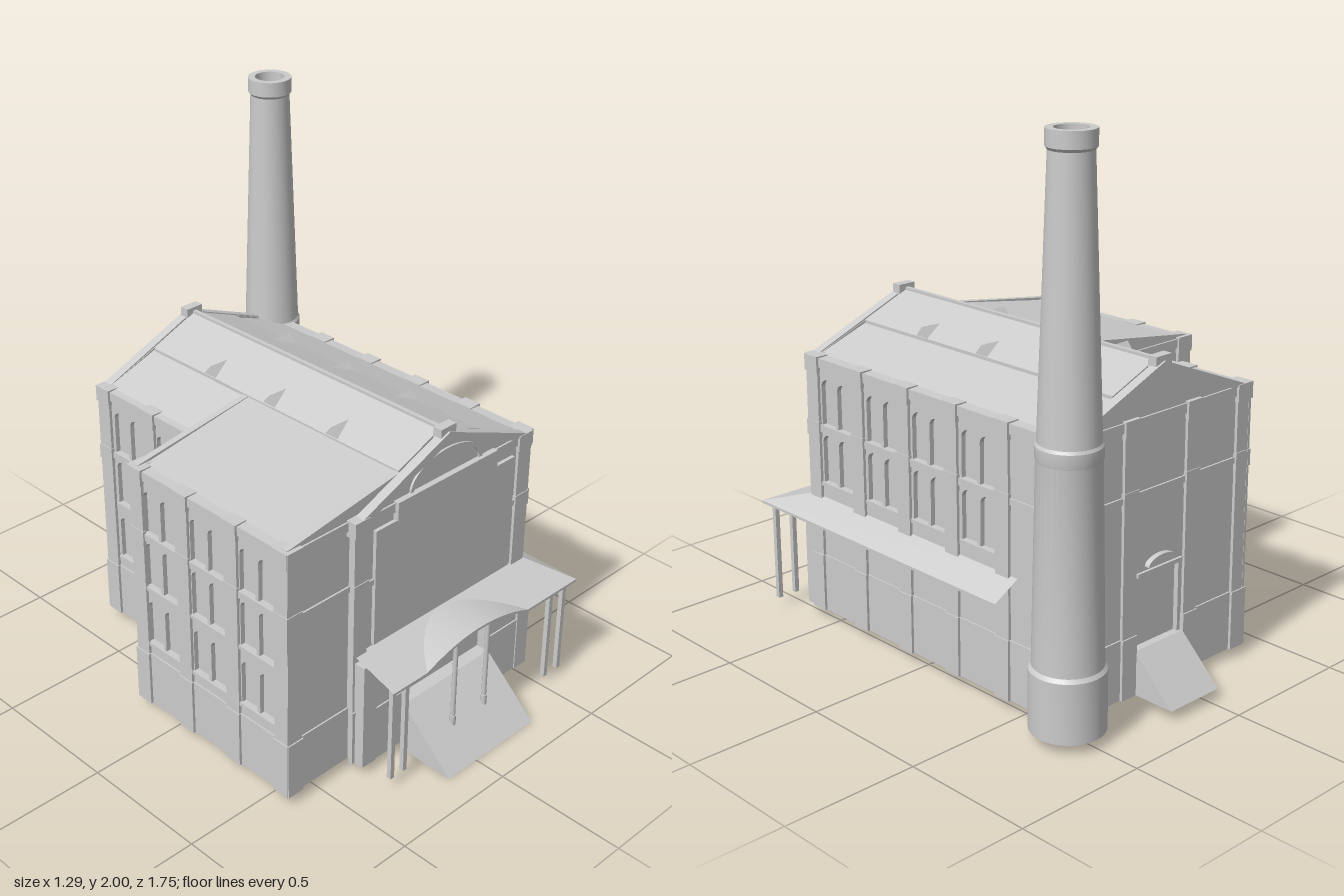
import * as THREE from 'three';
import { toCreasedNormals } from 'three/addons/utils/BufferGeometryUtils.js';
import { ConvexGeometry } from 'three/addons/geometries/ConvexGeometry.js';

const mat = new THREE.MeshStandardMaterial({ color: 0xcccccc, side: THREE.DoubleSide });
const BASE = 0.04, EAVE = 1.02;

// Each side has a turn about y; u runs along the wall, local z points outwards.
const SIDES = {
  front: { turn: 0, axis: 'z', u: 1 },
  back: { turn: Math.PI, axis: 'z', u: -1 },
  right: { turn: Math.PI / 2, axis: 'x', u: -1 },
  left: { turn: -Math.PI / 2, axis: 'x', u: 1 },
};

export function createModel() {
  const model = new THREE.Group();
  model.name = 'factory';

  const add = (name, geo, parent = model) => {
    const m = new THREE.Mesh(geo, mat);
    m.name = name;
    parent.add(m);
    return m;
  };
  const box = (name, x0, x1, y0, y1, z0, z1, parent) =>
    add(name, new THREE.BoxGeometry(Math.abs(x1 - x0), y1 - y0, z1 - z0), parent)
      .position.set((x0 + x1) / 2, (y0 + y1) / 2, (z0 + z1) / 2);
  const shape = (pts) => new THREE.Shape(pts.map(([x, y]) => new THREE.Vector2(x, y)));
  const extrude = (s, depth) =>
    new THREE.ExtrudeGeometry(s, { depth, bevelEnabled: false, curveSegments: 10 });

  // A group lying in the plane of one side at world offset `at`
  const face = (name, side, at) => {
    const g = new THREE.Group();
    g.name = name;
    g.rotation.y = SIDES[side].turn;
    g.position[SIDES[side].axis] = at;
    g.userData.u = SIDES[side].u;
    model.add(g);
    return g;
  };

  const archPath = (u, half, y0, y1, rise) => {
    const p = new THREE.Path();
    p.moveTo(u - half, y0);
    p.lineTo(u + half, y0);
    p.lineTo(u + half, y1 - rise);
    p.absellipse(u, y1 - rise, half, rise, 0, Math.PI, false);
    p.closePath();
    return p;
  };

  // Wall slab with arched window pairs, a pane behind them and sills
  const wall = (g, outline, bays = [], rows = [], holes = []) => {
    const k = g.userData.u;
    const s = shape(outline.map(([a, y]) => [a * k, y]));
    s.holes.push(...holes);
    for (const bay of bays) for (const [y0, y1] of rows) {
      for (const d of [-0.045, 0.045]) s.holes.push(archPath(bay * k + d, 0.0375, y0, y1, 0.03));
      box('windowSill', bay * k - 0.09, bay * k + 0.09, y0 - 0.014, y0, 0, 0.008, g);
    }
    add('wall', extrude(s, 0.025), g).position.z = -0.025;
    const us = outline.map((p) => p[0] * k);
    if (s.holes.length) box('pane', Math.min(...us), Math.max(...us), BASE, 1.0, -0.024, -0.018, g);
  };

  // String courses, and optionally a plinth, between two positions
  const courses = (g, a, b, plinth = true) => {
    const [u0, u1] = [a * g.userData.u, b * g.userData.u];
    if (plinth) box('plinth', u0, u1, BASE, 0.26, 0, 0.006, g);
    box('stringCourse', u0, u1, 0.742, 0.765, 0, 0.007, g);
    box('eaveCourse', u0, u1, 0.985, EAVE, 0, 0.007, g);
  };

  // Pilasters with foot, waist band and cap
  const pilasters = (g, list) => list.forEach((a) => {
    const u = a * g.userData.u;
    for (const [n, w, y0, y1, inner, outer] of [
      ['pilasterFoot', 0.035, BASE, 0.26, 0, 0.016],
      ['pilasterShaft', 0.032, 0.26, 0.97, 0, 0.011],
      ['pilasterBand', 0.035, 0.72, 0.78, 0, 0.014],
      ['pilasterCap', 0.035, 0.965, 1.026, -0.036, 0.016],
    ]) box(n, u - w, u + w, y0, y1, inner, outer, g);
  });

  const rect = (a, b) => [[a, BASE], [b, BASE], [b, EAVE], [a, EAVE]];
  const upper = [[0.55, 0.735], [0.77, 0.945]];
  const allRows = [[0.31, 0.49], ...upper];

  // Long walls
  const right = face('rightWall', 'right', 0.523);
  wall(right, rect(-0.7, 0.605), [0.455, 0.2, -0.045, -0.295], upper);
  courses(right, -0.7, 0.605);
  pilasters(right, [0.578, 0.328, 0.08, -0.166, -0.415]);

  const left = face('leftWall', 'left', -0.352);
  wall(left, rect(-0.7, -0.19), [-0.55, -0.31], allRows);
  courses(left, -0.7, -0.19);
  pilasters(left, [-0.68, -0.428]);

  const wingSide = face('wingSideWall', 'left', -0.632);
  wall(wingSide, rect(-0.185, 0.585), [0.4375, 0.1925, -0.05], allRows);
  courses(wingSide, -0.185, 0.585);
  pilasters(wingSide, [0.558, 0.318, 0.074, -0.16]);

  // Wing end walls rising with the wing roof
  for (const [side, at] of [['front', 0.58], ['back', -0.18]]) {
    const g = face('wingEndWall', side, at);
    wall(g, [[-0.632, BASE], [-0.352, BASE], [-0.352, 1.0], [-0.12, 1.09], [-0.12, 1.103], [-0.632, 1.028]]);
    courses(g, -0.632, -0.352);
    pilasters(g, [-0.61]);
  }

  // Gable ends with raking cornice and apex block
  const gable = [[-0.352, BASE], [0.523, BASE], [0.523, EAVE], [0.495, EAVE], [0.085, 1.185], [-0.33, EAVE], [-0.352, EAVE]];
  const rake = [[-0.34, 1.02], [0.083, 1.192], [0.507, 1.02], [0.432, 1.02], [0.083, 1.158], [-0.267, 1.02]];
  const gableEnd = (name, side, at, holes) => {
    const g = face(name, side, at);
    wall(g, gable, [], [], holes);
    add('rakingCornice', extrude(shape(rake.map(([x, y]) => [x * g.userData.u, y])), 0.035), g).position.z = -0.022;
    const c = 0.083 * g.userData.u;
    box('apexBlock', c - 0.037, c + 0.037, 1.165, 1.21, -0.03, 0.006, g);
    courses(g, -0.352, 0.523, false);
    return g;
  };
  const doorway = (a, b, y0, y1) =>
    new THREE.Path([[a, y0], [b, y0], [b, y1], [a, y1]].map((p) => new THREE.Vector2(...p)));

  const front = gableEnd('frontGable', 'front', 0.605, []);
  pilasters(front, [-0.33, 0.491]);
  box('frontPanel', -0.265, 0.435, 0.5, 0.955, 0, 0.014, front);
  box('nameBoard', -0.17, 0.33, 0.957, 1.027, 0, 0.022, front);
  const lunette = new THREE.Shape().absellipse(0.083, 1.025, 0.18, 0.105, 0, Math.PI, false);
  lunette.holes.push(new THREE.Path().absellipse(0.083, 1.025, 0.165, 0.092, 0, Math.PI, false));
  add('lunetteFrame', extrude(lunette, 0.008), front);

  // Projecting ground storey under the canopy, with the entrance recessed in it
  const storey = shape([[-0.352, BASE], [0.53, BASE], [0.53, 0.465], [-0.352, 0.465]]);
  storey.holes.push(doorway(-0.145, 0.305, 0.2, 0.4));
  add('groundStorey', extrude(storey, 0.045)).position.z = 0.605;
  for (const x of [-0.32, 0.495]) box('storeyPier', x - 0.032, x + 0.032, BASE, 0.465, 0.65, 0.66);
  for (const [a, b] of [[-0.352, -0.145], [0.305, 0.53]]) box('plinth', a, b, BASE, 0.26, 0.65, 0.656);

  const back = gableEnd('backGable', 'back', -0.7, [doorway(-0.18, 0.02, 0.2, 0.46)]);
  box('plinth', 0.352, 0.04, BASE, 0.26, 0, 0.006, back);
  box('plinth', -0.2, -0.523, BASE, 0.26, 0, 0.006, back);
  pilasters(back, [-0.327, -0.07, 0.233, 0.49]);
  const hood = new THREE.Shape().absellipse(-0.08, 0.49, 0.07, 0.032, 0, Math.PI, false);
  add('doorHood', extrude(hood, 0.02), back);
  box('doorLintel', -0.19, 0.03, 0.46, 0.475, 0, 0.01, back);

  // Roofs: thin bands extruded along z, the raised middle ending in a small step
  const roof = (name, line, z0, z1) => {
    const under = line.map(([x, y]) => [x, y - 0.012]).reverse();
    add(name, extrude(shape([...line, ...under]), z1 - z0)).position.z = z0;
  };
  roof('rightRoof', [[0.523, 1.02], [0.488, 1.022], [0.27, 1.1]], -0.69, 0.595);
  roof('leftRoof', [[-0.11, 1.1], [-0.33, 1.022], [-0.352, 1.02]], -0.69, 0.595);
  roof('raisedRoof', [[0.285, 1.108], [0.083, 1.19], [-0.12, 1.108]], -0.67, 0.575);
  roof('wingRoof', [[-0.11, 1.102], [-0.6, 1.022], [-0.632, 1.02]], -0.18, 0.57);
  box('ridgeCap', 0.075, 0.091, 1.185, 1.197, -0.67, 0.58);

  // Small pointed roof vents
  for (const s of [-1, 1]) for (const z of [0.26, -0.05, -0.36]) {
    const p = [[0.2, 1.1, -0.037], [0.2, 1.1, 0.037], [0.2, 1.145, 0], [0.112, 1.143, 0]];
    add('roofVent', new ConvexGeometry(p.map(([x, y, dz]) => new THREE.Vector3(0.083 + s * x, y, z + dz))));
  }

  // Canopy: sloping sheet round two sides with a vault over the entrance
  const sections = [];
  const section = (inner, crease, outer) =>
    sections.push([inner, crease, outer, [outer[0], outer[1] - 0.01, outer[2]]]);
  section([-0.348, 0.49, 0.605], [-0.348, 0.432, 0.792], [-0.348, 0.432, 0.792]);
  for (let i = 0; i <= 24; i++) {
    const t = i / 12 - 1, x = 0.083 + 0.265 * t, rise = 0.055 * (1 - t * t);
    section([x, 0.49, 0.605], [x, 0.432 + rise, 0.792 - 0.187 * rise / 0.058], [x, 0.432 + rise, 0.792]);
  }
  section([0.523, 0.49, 0.605], [0.624, 0.432, 0.792], [0.624, 0.432, 0.792]);
  section([0.523, 0.49, -0.48], [0.624, 0.432, -0.48], [0.624, 0.432, -0.48]);
  const index = [];
  for (let i = 0; i < sections.length - 1; i++) for (let j = 0; j < 3; j++) {
    const a = i * 4 + j, b = a + 4;
    index.push(a, a + 1, b, b, a + 1, b + 1);
  }
  const canopy = new THREE.BufferGeometry();
  canopy.setAttribute('position', new THREE.Float32BufferAttribute(sections.flat(2), 3));
  canopy.setIndex(index);
  add('canopy', toCreasedNormals(canopy, 0.3));

  // Canopy posts
  for (const x of [-0.318, -0.255, 0.512, 0.587]) box('canopyPost', x - 0.009, x + 0.009, BASE, 0.432, 0.752, 0.77);
  for (const x of [0, 0.167]) {
    add('entrancePost', new THREE.CylinderGeometry(0.009, 0.009, 0.38, 10)).position.set(x, 0.29, 0.76);
    add('entrancePostFoot', new THREE.CylinderGeometry(0.012, 0.012, 0.04, 10)).position.set(x, 0.115, 0.76);
  }

  // Ramps, profiles in z and y
  const ramp = (name, profile, x0, x1) => {
    const m = add(name, extrude(shape(profile), x1 - x0));
    m.rotation.y = -Math.PI / 2;
    m.position.x = x1;
  };
  ramp('frontRamp', [[0.645, 0], [0.877, 0], [0.655, 0.2], [0.645, 0.2]], -0.143, 0.307);
  ramp('backRamp', [[-0.69, BASE], [-0.69, 0.2], [-0.71, 0.2], [-0.877, BASE]], -0.037, 0.2);

  // Chimney with plinth, middle band, collar and hollow mouth
  const profile = [[0.13, 0.04], [0.13, 0.255], [0.12, 0.268], [0.107, 0.965], [0.11, 0.975], [0.11, 1.015],
    [0.104, 1.025], [0.073, 1.935], [0.081, 1.945], [0.081, 2], [0.055, 2], [0.055, 1.6], [0, 1.6]];
  const stack = new THREE.LatheGeometry(profile.map((p) => new THREE.Vector2(...p)), 32);
  add('chimney', toCreasedNormals(stack, 0.35)).position.set(0.515, 0, -0.706);

  return model;
}
